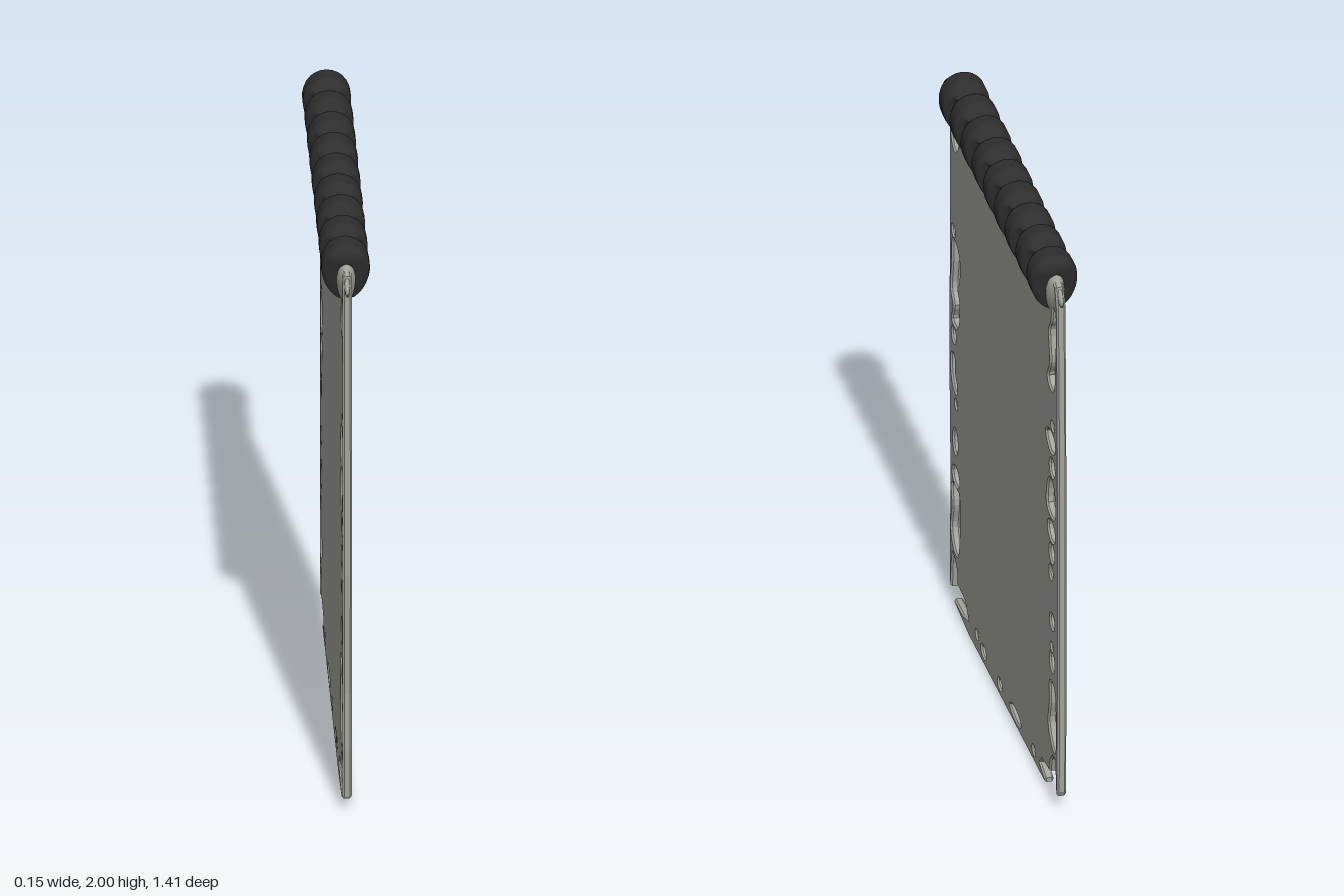
import * as THREE from 'three';

const paperMat = new THREE.MeshStandardMaterial({ color: 0xa3a49c });
paperMat.name = 'paperGrey';
const coilMat = new THREE.MeshStandardMaterial({ color: 0x2e2e2e });
coilMat.name = 'coilBlack';

const { smoothstep } = THREE.MathUtils;

// Closed body along z; section(z) gives half width and the top and bottom heights
function loft(z0, z1, steps, sides, section) {
  const pos = [], index = [];
  for (let i = 0; i <= steps; i++) {
    const z = z0 + (z1 - z0) * i / steps;
    const { w, top, bottom } = section(z);
    for (let j = 0; j < sides; j++) {
      const a = j / sides * Math.PI * 2, c = Math.cos(a);
      pos.push(w * Math.sin(a) * (1 + 0.12 * c), (top + bottom) / 2 + (top - bottom) / 2 * c, z);
    }
  }
  for (let i = 0; i < steps; i++) for (let j = 0; j < sides; j++) {
    const p = i * sides + j, q = i * sides + (j + 1) % sides;
    index.push(p, p + sides, q, q, p + sides, q + sides);
  }
  // end caps
  [z0, z1].forEach((z, end) => {
    const { top, bottom } = section(z), centre = pos.length / 3, base = end * steps * sides;
    pos.push(0, (top + bottom) / 2, z);
    for (let j = 0; j < sides; j++) {
      const p = base + j, q = base + (j + 1) % sides;
      if (end) index.push(centre, q, p); else index.push(centre, p, q);
    }
  });
  const g = new THREE.BufferGeometry();
  g.setAttribute('position', new THREE.Float32BufferAttribute(pos, 3));
  g.setIndex(index);
  g.computeVertexNormals();
  return g;
}

// Smooth closed hole through [z, y] points
function blob(points) {
  const curve = new THREE.CatmullRomCurve3(points.map(([z, y]) => new THREE.Vector3(z, y, 0)), true);
  return new THREE.Path(curve.getPoints(points.length * 4).slice(0, -1).map(p => new THREE.Vector2(p.x, p.y)));
}

// Oval hole
function oval(z, y, rz, ry) {
  const pts = [];
  for (let i = 0; i < 14; i++) {
    const a = i / 14 * Math.PI * 2;
    pts.push(new THREE.Vector2(z + rz * Math.cos(a), y + ry * Math.sin(a)));
  }
  return new THREE.Path(pts);
}

// Sheet outline in [z, y], with loose strips at the lower corners
const outline = [
  [0.685, 1.87], [0.67, 1.92], [0.61, 1.935], [-0.61, 1.935], [-0.67, 1.92], [-0.69, 1.86],
  [-0.70, 1.5], [-0.705, 1.0], [-0.705, 0.6], [-0.70, 0.07], [-0.69, 0.05], [-0.677, 0.08],
  [-0.67, 0.17], [-0.64, 0.17], [-0.61, 0.14], [-0.595, 0.09], [-0.5, 0.08], [-0.465, 0.05],
  [-0.535, 0.03], [-0.535, 0.015], [-0.29, 0.012], [0, 0.008], [0.45, 0], [0.64, 0.018],
  [0.64, 0.03], [0.53, 0.032], [0.455, 0.055], [0.5, 0.1], [0.6, 0.105], [0.6, 0.15],
  [0.63, 0.18], [0.66, 0.19], [0.675, 0.14], [0.685, 0.05], [0.695, 0.05], [0.70, 0.23],
  [0.69, 0.42], [0.705, 0.86], [0.70, 1.4], [0.69, 1.65],
];

// Large ragged holes along the two sides
const blobs = [
  [[0.68, 1.81], [0.637, 1.82], [0.6, 1.775], [0.59, 1.735], [0.63, 1.69], [0.675, 1.72]],
  [[0.66, 1.35], [0.625, 1.355], [0.573, 1.32], [0.578, 1.235], [0.605, 1.2], [0.578, 1.165],
    [0.578, 1.09], [0.615, 1.045], [0.67, 1.05], [0.647, 1.11], [0.683, 1.155], [0.668, 1.26]],
  [[0.68, 0.915], [0.64, 0.93], [0.63, 0.865], [0.605, 0.83], [0.615, 0.8], [0.657, 0.815], [0.68, 0.855]],
  [[0.672, 0.44], [0.58, 0.45], [0.57, 0.325], [0.594, 0.215], [0.64, 0.212], [0.682, 0.27], [0.663, 0.36]],
  [[-0.637, 1.825], [-0.67, 1.825], [-0.67, 1.66], [-0.65, 1.53], [-0.605, 1.515], [-0.57, 1.54],
    [-0.605, 1.605], [-0.59, 1.72], [-0.62, 1.765]],
  [[-0.55, 1.325], [-0.605, 1.355], [-0.663, 1.34], [-0.663, 1.305], [-0.605, 1.282]],
  [[-0.583, 1.165], [-0.63, 1.18], [-0.667, 1.13], [-0.663, 1.06], [-0.615, 1.045], [-0.562, 1.065]],
  [[-0.605, 0.43], [-0.658, 0.424], [-0.675, 0.33], [-0.668, 0.2], [-0.626, 0.207], [-0.583, 0.265], [-0.6, 0.345]],
];

// Small holes: z, y, half width, half height
const ovals = [
  [0.652, 1.386, 0.021, 0.02], [0.647, 1.002, 0.027, 0.027], [0.615, 0.763, 0.016, 0.016],
  [0.626, 0.62, 0.03, 0.046], [0.62, 0.493, 0.045, 0.033],
  [-0.637, 1.388, 0.02, 0.016], [-0.63, 1.23, 0.033, 0.033], [-0.62, 0.991, 0.046, 0.036],
  [-0.626, 0.912, 0.032, 0.034], [-0.615, 0.837, 0.022, 0.026], [-0.63, 0.662, 0.029, 0.027],
  [-0.626, 0.567, 0.016, 0.014], [-0.63, 0.514, 0.03, 0.036],
  [0.345, 0.064, 0.018, 0.015], [0.26, 0.048, 0.032, 0.02], [0.048, 0.048, 0.027, 0.018],
  [-0.154, 0.048, 0.07, 0.02], [-0.392, 0.053, 0.021, 0.015],
];

export function createModel() {
  const model = new THREE.Group();
  const add = (name, geometry, material) => {
    const mesh = new THREE.Mesh(geometry, material);
    mesh.name = name;
    model.add(mesh);
  };

  // Worn paper sheet
  const shape = new THREE.Shape(outline.map(([z, y]) => new THREE.Vector2(z, y)));
  shape.holes = [...blobs.map(blob), ...ovals.map(o => oval(...o))];
  const sheet = new THREE.ExtrudeGeometry(shape, {
    depth: 0.018, bevelEnabled: true, bevelThickness: 0.006, bevelSize: 0.005, bevelOffset: -0.005, bevelSegments: 1,
  });
  sheet.translate(0, 0, -0.009);
  sheet.rotateY(-Math.PI / 2);
  add('paperSheet', sheet, paperMat);

  // Thickened upper edge of the sheet under the binding
  add('paperTopEdge', loft(-0.7, 0.7, 70, 20, z => {
    const t = 1 - smoothstep(Math.abs(z), 0.6, 0.7);
    return { w: 0.006 + 0.026 * t, top: 1.89 + 0.055 * Math.sqrt(t), bottom: 1.86 - 0.07 * t };
  }), paperMat);

  // Coil binding: nine straps joined by a scalloped rod
  const pitch = 0.1425;
  add('coilBinding', loft(-0.625, 0.625, 160, 28, z => {
    const ring = THREE.MathUtils.clamp(Math.round(z / pitch), -4, 4);
    const d = Math.abs(z - ring * pitch);
    const bump = 1 - smoothstep(d, 0.026, 0.068);
    const strap = 1 - smoothstep(d, 0.03, 0.052);
    return { w: 0.035 + 0.042 * bump, top: 1.965 + 0.035 * bump, bottom: 1.935 - 0.135 * strap };
  }), coilMat);

  return model;
}
